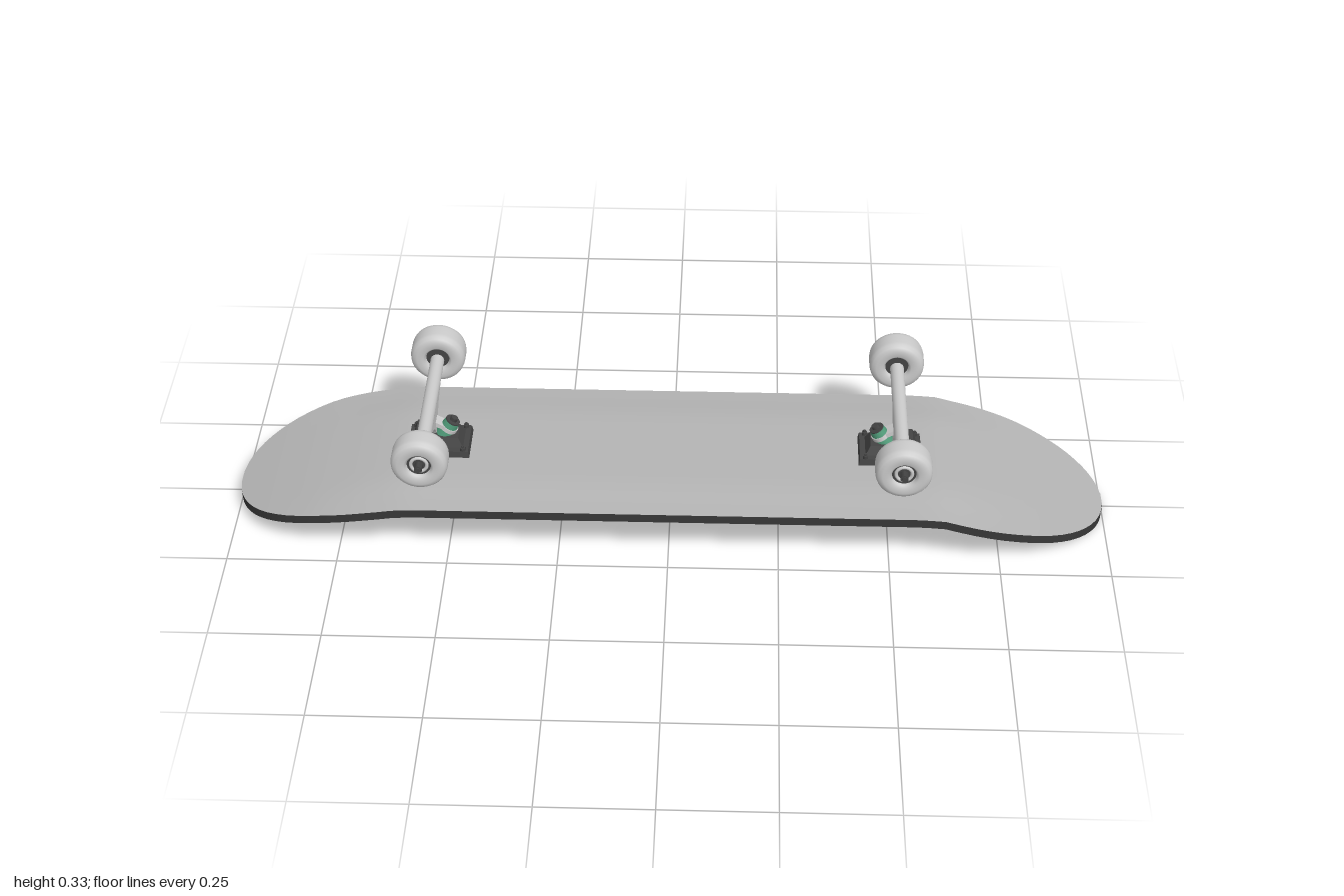
import * as THREE from 'three';

const grey = new THREE.MeshStandardMaterial({ color: 0xcccccc });
const paint = (color) => new THREE.MeshStandardMaterial({ color });
const deckGrey = paint(0xb4b4b4), grip = paint(0x222222), edge = paint(0x383838);
const dark = paint(0x444444), green = paint(0x4f9a78);

function add(parent, name, geometry, material, x = 0, y = 0, z = 0) {
  const mesh = new THREE.Mesh(geometry, material);
  mesh.name = name;
  mesh.position.set(x, y, z);
  parent.add(mesh);
  return mesh;
}

// Surface through a (u, v) grid of points; it faces v-direction x u-direction.
function grid(nu, nv, point) {
  const pos = [], index = [];
  for (let i = 0; i <= nu; i++) for (let j = 0; j <= nv; j++) pos.push(...point(i, j));
  for (let i = 0; i < nu; i++) for (let j = 0; j < nv; j++) {
    const a = i * (nv + 1) + j, b = a + 1, c = a + nv + 1, d = c + 1;
    index.push(a, b, c, b, d, c);
  }
  const g = new THREE.BufferGeometry();
  g.setAttribute('position', new THREE.Float32BufferAttribute(pos, 3));
  g.setIndex(index);
  g.computeVertexNormals();
  return g;
}

// Box whose top is narrowed by a factor in x and z.
function taperedBox(w, h, d, sx, sz) {
  const g = new THREE.BoxGeometry(w, h, d), p = g.attributes.position;
  for (let i = 0; i < p.count; i++) {
    if (p.getY(i) > 0) p.setXYZ(i, p.getX(i) * sx, p.getY(i), p.getZ(i) * sz);
  }
  g.computeVertexNormals();
  return g;
}

// Deck: side profile, plan outline and cross-section
const thickness = 0.021;
const profile = [[-1, 0.04], [-0.9, 0.075], [-0.8, 0.106], [-0.7, 0.131], [-0.62, 0.146], [-0.58, 0.149],
  [0.57, 0.149], [0.62, 0.145], [0.7, 0.12], [0.85, 0.07], [1, 0.021]];

function profileY(x) {
  const k = Math.max(1, profile.findIndex((p) => p[0] >= x - 1e-9));
  const [x0, y0] = profile[k - 1], [x1, y1] = profile[k];
  return THREE.MathUtils.mapLinear(x, x0, x1, y0, y1);
}

function halfWidth(x) {
  const t = Math.max(0, (Math.abs(x) - 0.67) / 0.33), n = x < 0 ? 2.2 : 2.05;
  return Math.max(0.02, 0.232 * Math.pow(Math.max(0, 1 - Math.pow(t, n)), 1 / n));
}

function deckY(x, z) {
  const fade = 1 - THREE.MathUtils.smoothstep(Math.abs(x), 0.6, 0.85);
  return profileY(x) - 0.011 * fade * THREE.MathUtils.smoothstep(Math.abs(z), 0.11, 0.24);
}

function buildDeck() {
  const deck = new THREE.Group();
  deck.name = 'deck';
  const stations = [];
  for (let i = 0; i <= 20; i++) stations.push(-1 + 0.45 * (1 - Math.cos((i / 20) * Math.PI / 2)));
  for (let i = 1; i < 8; i++) stations.push(-0.55 + 1.1 * i / 8);
  for (let i = 0; i <= 20; i++) stations.push(1 - 0.45 * (1 - Math.sin((i / 20) * Math.PI / 2)));
  const n = stations.length - 1, m = 16;
  const point = (i, s, drop) => {
    const x = stations[i], z = s * halfWidth(x);
    return [x, deckY(x, z) - drop, z];
  };
  add(deck, 'deckFace', grid(n, m, (i, j) => point(i, 2 * j / m - 1, 0)), deckGrey);
  add(deck, 'gripFace', grid(n, m, (i, j) => point(i, 1 - 2 * j / m, thickness)), grip);
  const around = 2 * (n + 1);
  add(deck, 'deckRim', grid(around, 1, (i, j) => {
    const k = i % around;
    return k <= n ? point(k, 1, j * thickness) : point(around - 1 - k, -1, j * thickness);
  }), edge);
  return deck;
}

// Wheel with rounded shoulders, recessed hub and bearing, along z
function buildWheel(side) {
  const wheel = new THREE.Group();
  wheel.name = 'wheel';
  const half = [[0.0635, 0.014], [0.062, 0.023], [0.057, 0.03], [0.048, 0.0335], [0.033, 0.0335], [0.028, 0.028], [0.026, 0.018]];
  const outline = [...half.map(([r, h]) => [r, -h]).reverse(), ...half].map(([r, h]) => new THREE.Vector2(r, h));
  add(wheel, 'tyre', new THREE.LatheGeometry(outline, 40), grey).rotation.x = Math.PI / 2;
  add(wheel, 'bearing', new THREE.CylinderGeometry(0.028, 0.028, 0.044, 24), dark).rotation.x = Math.PI / 2;
  add(wheel, 'bearingRing', new THREE.TorusGeometry(0.018, 0.004, 8, 24), grey, 0, 0, side * 0.022);
  add(wheel, 'axleNut', new THREE.CylinderGeometry(0.0095, 0.0095, 0.02, 6), dark, 0, 0, side * 0.031).rotation.x = Math.PI / 2;
  return wheel;
}

// Truck: +x points to the middle of the board
function buildTruck() {
  const truck = new THREE.Group();
  truck.name = 'truck';
  const axleY = 0.262;

  // Base plate with pivot cup and kingpin seat
  add(truck, 'basePlate', taperedBox(0.145, 0.016, 0.106, 0.96, 0.95), dark, 0.0175, 0.156);
  add(truck, 'baseHump', taperedBox(0.115, 0.022, 0.07, 0.8, 0.75), dark, 0.0175, 0.174);
  add(truck, 'pivotCup', taperedBox(0.05, 0.022, 0.052, 0.7, 0.75), dark, -0.015, 0.19);

  // Mounting bolts
  for (const x of [-0.04, 0.075]) for (const z of [-0.044, 0.044]) {
    add(truck, 'mountingNut', new THREE.CylinderGeometry(0.0065, 0.0065, 0.009, 6), dark, x, 0.167, z);
    add(truck, 'boltTip', new THREE.CylinderGeometry(0.003, 0.003, 0.008, 8), dark, x, 0.172, z);
    add(truck, 'boltHead', new THREE.CylinderGeometry(0.006, 0.006, 0.004, 12), dark, x, 0.127, z);
  }

  // Hanger: axle housing and curved wing down to the pivot
  add(truck, 'axleHousing', new THREE.CylinderGeometry(0.016, 0.016, 0.34, 20), grey, 0, axleY).rotation.x = Math.PI / 2;
  add(truck, 'axle', new THREE.CylinderGeometry(0.0055, 0.0055, 0.49, 12), dark, 0, axleY).rotation.x = Math.PI / 2;
  const wing = new THREE.Shape();
  wing.moveTo(-0.115, 0.262);
  wing.lineTo(-0.115, 0.247);
  wing.bezierCurveTo(-0.06, 0.235, -0.03, 0.222, -0.014, 0.189);
  wing.lineTo(0.014, 0.189);
  wing.bezierCurveTo(0.03, 0.222, 0.06, 0.235, 0.115, 0.247);
  wing.lineTo(0.115, 0.262);
  const wingGeo = new THREE.ExtrudeGeometry(wing, { depth: 0.026, bevelEnabled: false, curveSegments: 12 });
  wingGeo.translate(0, 0, -0.013).rotateY(Math.PI / 2);
  add(truck, 'hangerWing', wingGeo, grey);

  // Tilted kingpin with two bushings around the hanger ring
  const kingpin = new THREE.Group();
  kingpin.name = 'kingpin';
  kingpin.position.set(0.03, 0.178, 0);
  kingpin.rotation.z = -0.5;
  truck.add(kingpin);
  const stack = [['lowerBushing', 0.019, 0.022, 0.018, green], ['hangerRing', 0.021, 0.021, 0.01, grey],
    ['upperBushing', 0.017, 0.019, 0.014, green], ['washer', 0.017, 0.017, 0.003, dark]];
  let y = 0;
  for (const [name, top, bottom, h, mat] of stack) {
    add(kingpin, name, new THREE.CylinderGeometry(top, bottom, h, 20), mat, 0, y + h / 2);
    y += h;
  }
  add(kingpin, 'kingpinNut', new THREE.CylinderGeometry(0.009, 0.009, 0.009, 6), dark, 0, y + 0.004);
  add(kingpin, 'ringLink', new THREE.BoxGeometry(0.04, 0.01, 0.03), grey, -0.02, 0.023);

  for (const side of [-1, 1]) {
    const wheel = buildWheel(side);
    wheel.position.set(0, axleY, side * 0.2015);
    truck.add(wheel);
  }
  return truck;
}

export function createModel() {
  const board = new THREE.Group();
  board.name = 'skateboard';
  board.add(buildDeck());
  for (const [x, turn] of [[-0.55, 0], [0.52, Math.PI]]) {
    const truck = buildTruck();
    truck.position.x = x;
    truck.rotation.y = turn;
    board.add(truck);
  }
  return board;
}
